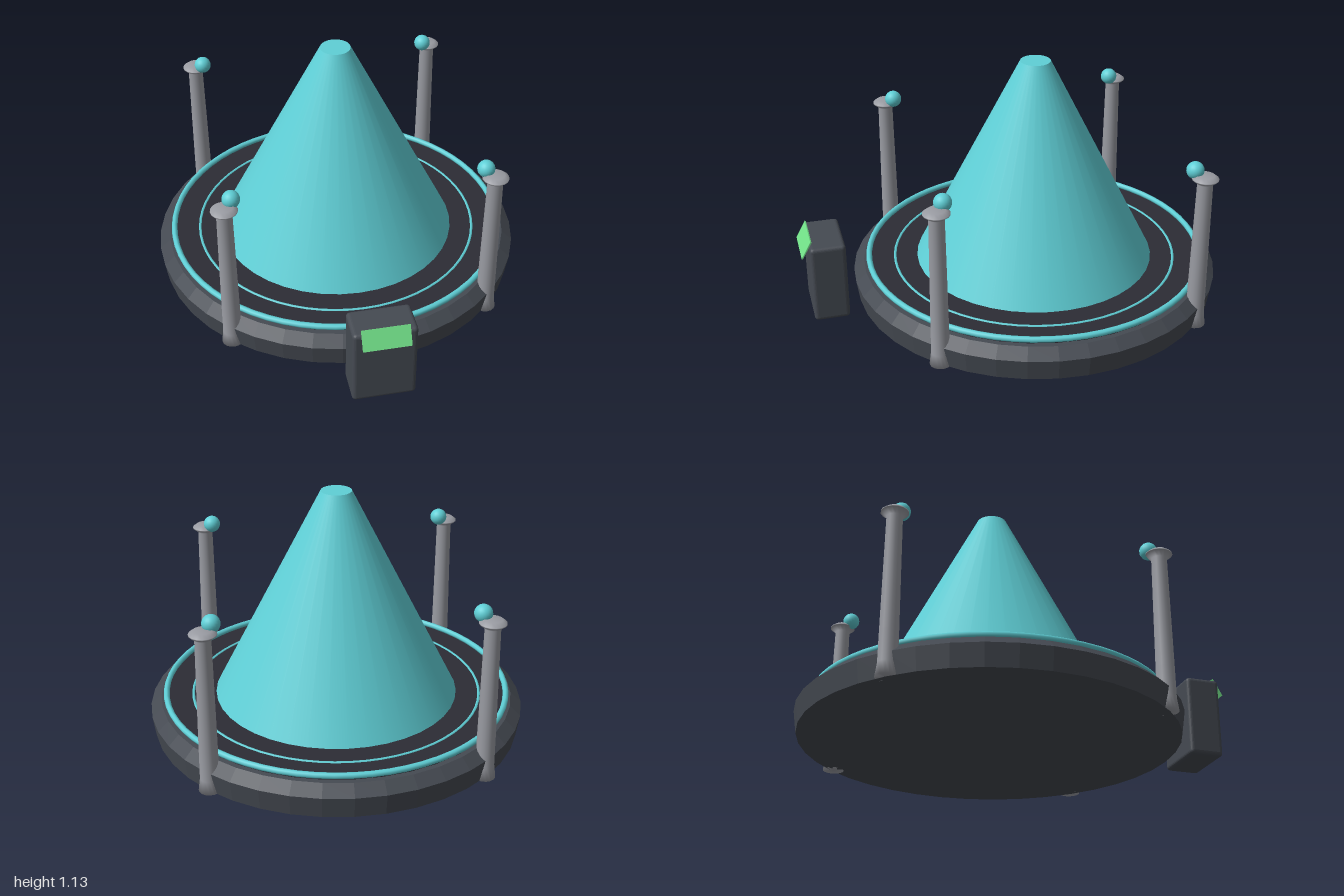
import * as THREE from 'three';
import { RoundedBoxGeometry } from 'three/addons/geometries/RoundedBoxGeometry.js';

const SIDES = 40;

function material(name, color, flatShading = false) {
  const m = new THREE.MeshStandardMaterial({ color });
  m.name = name;
  m.flatShading = flatShading;
  return m;
}

function add(parent, name, geometry, mat, x = 0, y = 0, z = 0) {
  const mesh = new THREE.Mesh(geometry, mat);
  mesh.name = name;
  mesh.position.set(x, y, z);
  parent.add(mesh);
  return mesh;
}

function lathe(points, sides) {
  return new THREE.LatheGeometry(points.map(([r, y]) => new THREE.Vector2(r, y)), sides);
}

export function createModel() {
  const charcoal = material('charcoal', 0x454a52, true);
  const deckDark = material('deck dark', 0x2c2c35);
  const teal = material('teal', 0x5fcfd6);
  const steel = material('steel grey', 0x9a9ca3);
  const green = material('screen green', 0x72e088);

  const model = new THREE.Group();
  model.name = 'beamPlatform';

  // Round platform, set back behind the console
  const platform = new THREE.Group();
  platform.name = 'platform';
  platform.position.z = -0.125;
  model.add(platform);

  add(platform, 'base', lathe(
    [[0, 0], [0.86, 0], [0.875, 0.1], [0.825, 0.145], [0, 0.145]], SIDES), charcoal);
  add(platform, 'deck', new THREE.CylinderGeometry(0.8, 0.8, 0.008, SIDES), deckDark, 0, 0.146, 0);

  // Glowing rings: raised rim ring and thin inlaid ring
  const rim = new THREE.TorusGeometry(0.8, 0.014, 8, 64).rotateX(-Math.PI / 2);
  add(platform, 'rimRing', rim, teal, 0, 0.165, 0);
  const inlay = new THREE.TorusGeometry(0.675, 0.008, 6, 64).rotateX(-Math.PI / 2);
  add(platform, 'inlaidRing', inlay, teal, 0, 0.147, 0);

  // Tapered beam in the middle
  add(platform, 'beam', new THREE.CylinderGeometry(0.07, 0.57, 0.99, SIDES), teal, 0, 0.64, 0);

  // Four posts, each with a small lamp leaning towards the beam
  const postShape = lathe([
    [0, 0], [0.05, 0], [0.042, 0.06], [0.041, 0.2], [0.035, 0.725],
    [0.06, 0.745], [0.06, 0.75], [0.04, 0.765], [0, 0.765]], 16);
  const lampShape = new THREE.SphereGeometry(0.04, 20, 14);
  for (const sx of [-1, 1]) {
    for (const sz of [-1, 1]) {
      add(platform, 'post', postShape, steel, sx * 0.6, 0, sz * 0.6);
      add(platform, 'lamp', lampShape, teal, sx * 0.565, 0.777, sz * 0.565);
    }
  }

  // Console with a tilted screen
  const consoleGroup = new THREE.Group();
  consoleGroup.name = 'console';
  model.add(consoleGroup);
  add(consoleGroup, 'consoleBody', new RoundedBoxGeometry(0.284, 0.38, 0.164, 3, 0.018),
    charcoal, 0, 0.196, 0.885);
  const screen = add(consoleGroup, 'screen', new THREE.BoxGeometry(0.212, 0.092, 0.006),
    green, 0, 0.366, 0.978);
  screen.rotation.x = -0.51;

  return model;
}
